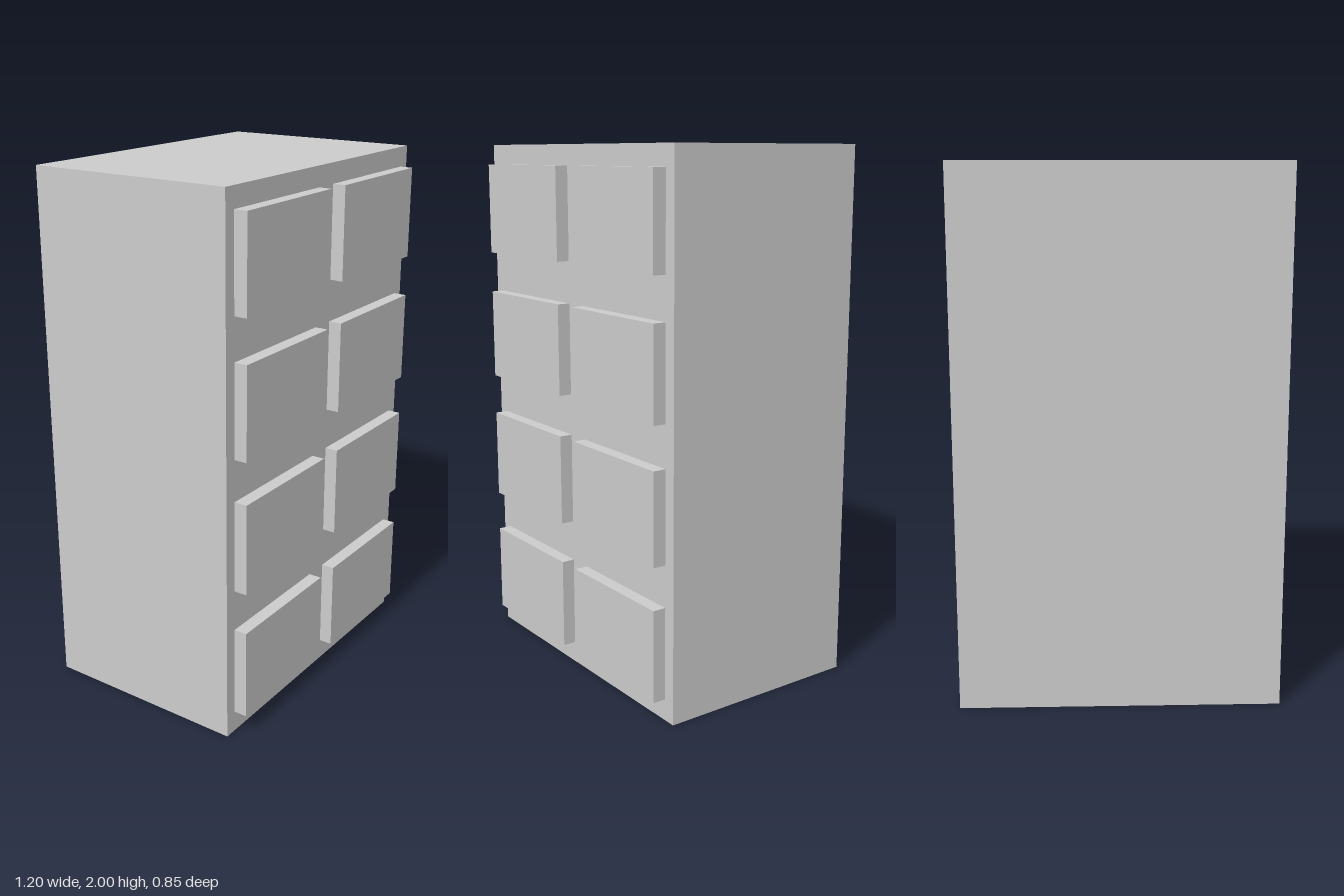
import * as THREE from 'three';

const WIDTH = 1.2, HEIGHT = 2, DEPTH = 0.8, FRONT_Z = 0.375;
const DRAWER = { width: 0.506, height: 0.344, depth: 0.05 };
const COLUMNS = 2, ROWS = 4;

export function createModel() {
  const group = new THREE.Group();
  group.name = 'drawerCabinet';
  const material = new THREE.MeshStandardMaterial({ color: 0xcccccc });

  // Solid cabinet body
  const body = new THREE.Mesh(new THREE.BoxGeometry(WIDTH, HEIGHT, DEPTH), material);
  body.name = 'cabinetBody';
  body.position.set(0, HEIGHT / 2, FRONT_Z - DEPTH / 2);
  group.add(body);

  // Raised drawer fronts in a regular grid
  const drawerGeometry = new THREE.BoxGeometry(DRAWER.width, DRAWER.height, DRAWER.depth);
  for (let row = 0; row < ROWS; row++) {
    for (let column = 0; column < COLUMNS; column++) {
      const drawer = new THREE.Mesh(drawerGeometry, material);
      drawer.name = `drawerFront${row * COLUMNS + column + 1}`;
      drawer.position.set(
        (column - 0.5) * WIDTH / COLUMNS,
        0.253 + row * HEIGHT / ROWS,
        FRONT_Z + DRAWER.depth / 2
      );
      group.add(drawer);
    }
  }
  return group;
}
